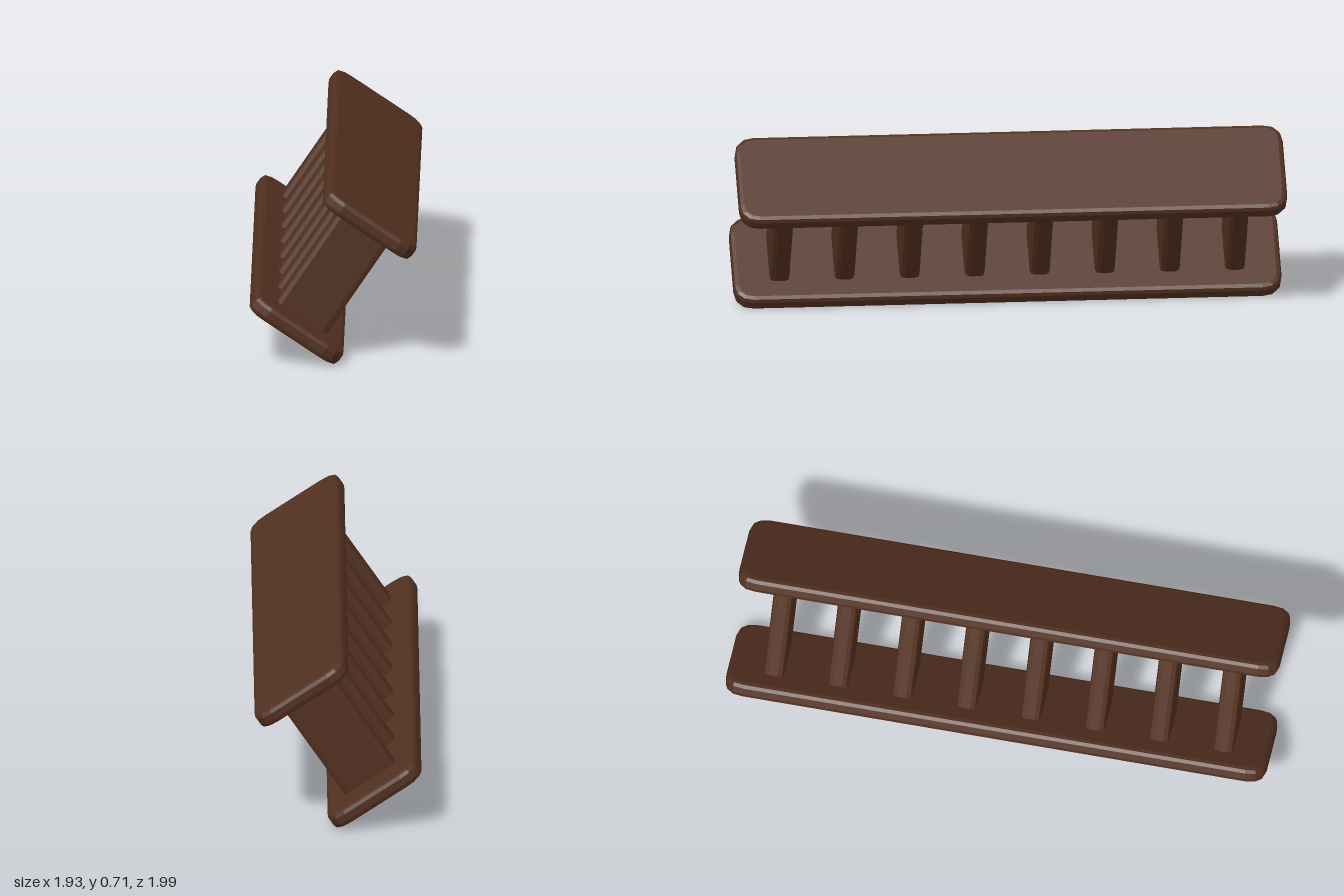
import * as THREE from 'three';

const material = new THREE.MeshStandardMaterial({ color: 0x523020, flatShading: true });

// Rectangle outline with rounded corners, centred on the origin
function roundedRect(w, h, r) {
  const x = w / 2, y = h / 2, s = new THREE.Shape();
  s.moveTo(-x + r, -y);
  s.lineTo(x - r, -y);
  s.quadraticCurveTo(x, -y, x, -y + r);
  s.lineTo(x, y - r);
  s.quadraticCurveTo(x, y, x - r, y);
  s.lineTo(-x + r, y);
  s.quadraticCurveTo(-x, y, -x, y - r);
  s.lineTo(-x, -y + r);
  s.quadraticCurveTo(-x, -y, -x + r, -y);
  return s;
}

// Flat board lying in the xz plane with softened edges
function boardGeometry(length, thickness, width, radius, bevel) {
  const geo = new THREE.ExtrudeGeometry(
    roundedRect(length - 2 * bevel, width - 2 * bevel, radius - bevel),
    {
      depth: thickness - 2 * bevel, curveSegments: 3,
      bevelThickness: bevel, bevelSize: bevel, bevelSegments: 2,
    });
  geo.translate(0, 0, -thickness / 2 + bevel);
  geo.rotateX(-Math.PI / 2);
  return geo;
}

export function createModel() {
  const model = new THREE.Group();
  model.name = 'ladder';

  // Ladder built along x, then turned diagonally and leaned over
  const frame = new THREE.Group();
  frame.name = 'ladderFrame';
  frame.rotation.set(-0.594, -0.812, 0, 'YXZ');
  frame.position.y = 0.346;
  model.add(frame);

  // Two side rails
  const railGap = 0.26, railThickness = 0.068;
  const railGeo = boardGeometry(2.19, railThickness, 0.425, 0.08, 0.02);
  for (const side of [-1, 1]) {
    const rail = new THREE.Mesh(railGeo, material);
    rail.name = side < 0 ? 'lowerRail' : 'upperRail';
    rail.position.y = side * railGap;
    frame.add(rail);
  }

  // Eight rungs between the rails
  const rungHeight = 2 * railGap - 0.03;
  const rungGeo = new THREE.ExtrudeGeometry(roundedRect(0.08, 0.24, 0.022),
    { depth: rungHeight, bevelEnabled: false, curveSegments: 2 });
  rungGeo.translate(0, 0, -rungHeight / 2);
  rungGeo.rotateX(-Math.PI / 2);
  for (let i = 0; i < 8; i++) {
    const rung = new THREE.Mesh(rungGeo, material);
    rung.name = `rung${i + 1}`;
    rung.position.x = (i - 3.5) * 0.26;
    frame.add(rung);
  }
  return model;
}
